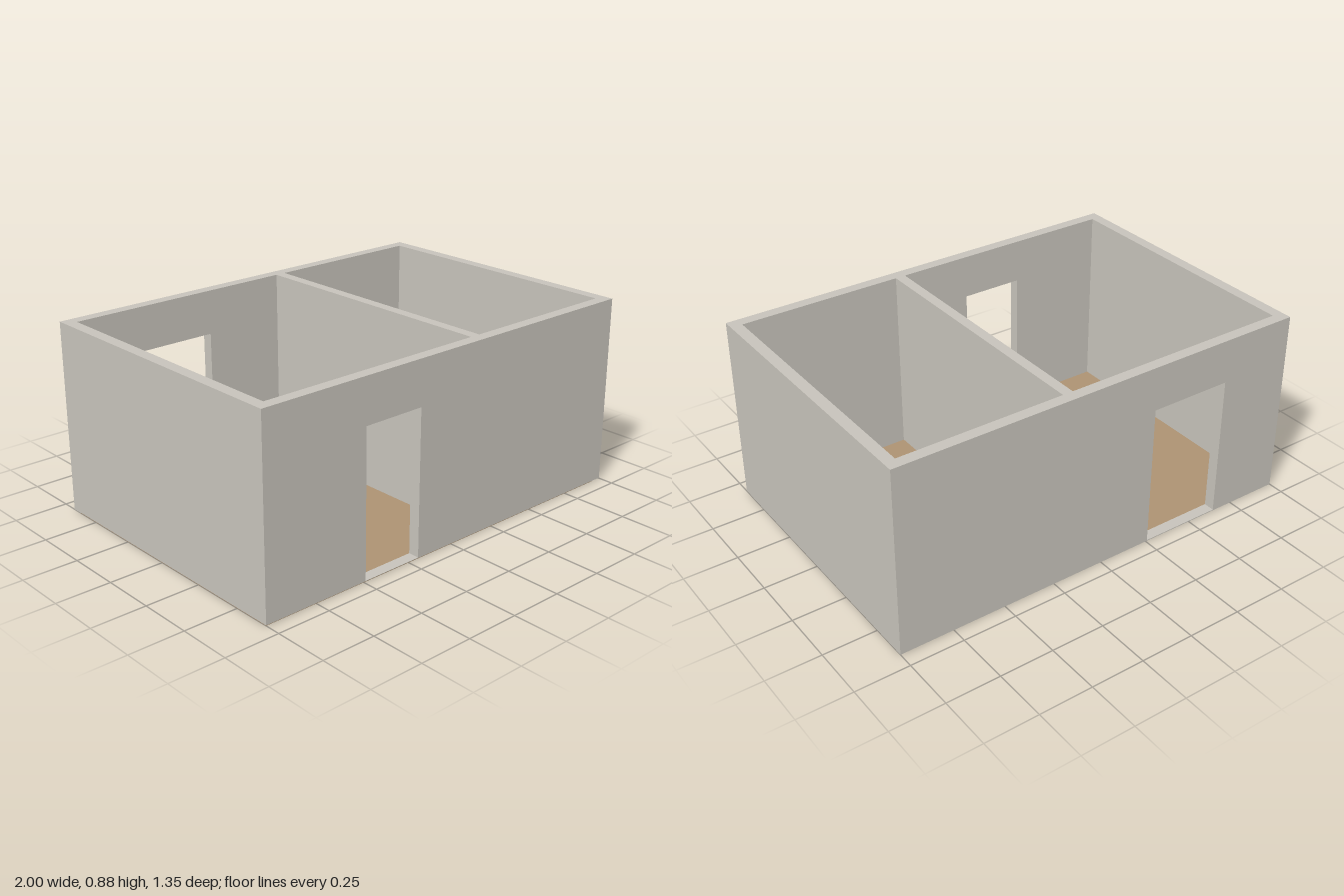
import * as THREE from 'three';

const HEIGHT = 0.875;
const DOOR_HEIGHT = 0.67;
const HALF_DEPTH = 0.676;
const WALL = 0.052;
const SLAB = 0.002;

export function createModel() {
  const house = new THREE.Group();
  house.name = 'house';

  const plaster = new THREE.MeshStandardMaterial({ color: 0xc6c2ba });
  plaster.name = 'plaster';
  const wood = new THREE.MeshStandardMaterial({ color: 0xac9272 });
  wood.name = 'wood floor';

  // Box given by its lower and upper corners
  function block(name, material, x0, x1, y0, y1, z0, z1) {
    const mesh = new THREE.Mesh(new THREE.BoxGeometry(x1 - x0, y1 - y0, z1 - z0), material);
    mesh.position.set((x0 + x1) / 2, (y0 + y1) / 2, (z0 + z1) / 2);
    mesh.name = name;
    house.add(mesh);
  }

  // Full-width wall with a doorway notched into its outline
  function doorWall(name, doorLeft, doorRight, y0, z0) {
    const outline = new THREE.Shape([
      [-1, y0], [doorLeft, y0], [doorLeft, DOOR_HEIGHT], [doorRight, DOOR_HEIGHT],
      [doorRight, y0], [1, y0], [1, HEIGHT], [-1, HEIGHT],
    ].map(([x, y]) => new THREE.Vector2(x, y)));
    const geometry = new THREE.ExtrudeGeometry(outline, { depth: WALL, bevelEnabled: false });
    const mesh = new THREE.Mesh(geometry, plaster);
    mesh.position.z = z0;
    mesh.name = name;
    house.add(mesh);
  }

  const inner = HALF_DEPTH - WALL;

  // Floor, a thin slab
  block('floor', wood, -1, 1 - WALL, 0, SLAB, -inner, HALF_DEPTH);

  // Front and back walls with doorways and flush sills
  doorWall('frontWall', -0.49, -0.195, SLAB, inner);
  block('frontSill', plaster, -0.49, -0.195, SLAB, 2 * SLAB, inner, HALF_DEPTH);
  doorWall('backWall', -0.645, -0.257, 0, -HALF_DEPTH);
  block('backSill', plaster, -0.645, -0.257, 0, 2 * SLAB, -HALF_DEPTH, -inner);

  // Side walls and the partition between the two rooms
  block('leftWall', plaster, 1 - WALL, 1, 0, HEIGHT, -inner, inner);
  block('rightWall', plaster, -1, -1 + WALL, SLAB, HEIGHT, -inner, inner);
  block('partition', plaster, 0.138, 0.186, SLAB, HEIGHT, -inner, inner);

  return house;
}
